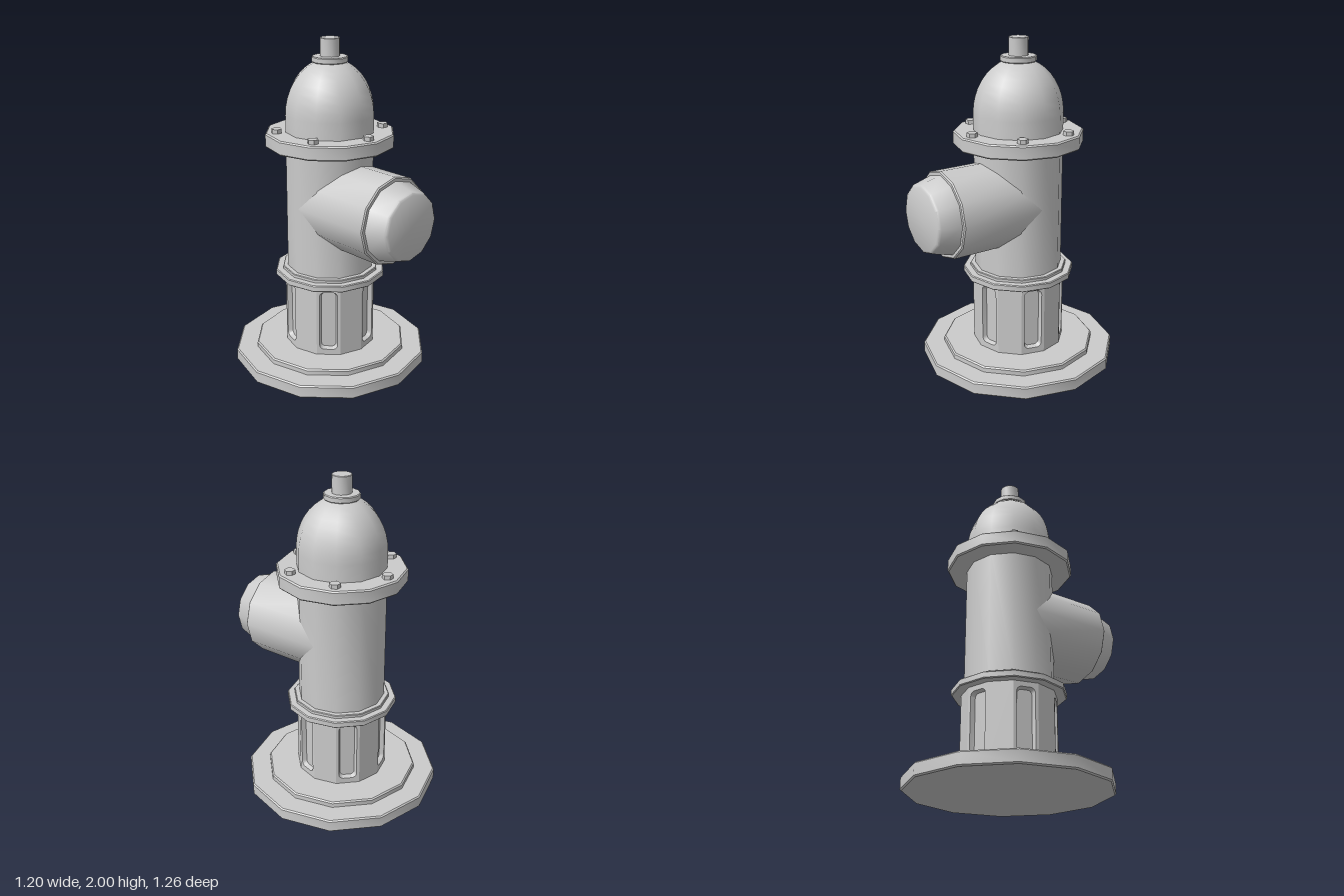
import * as THREE from 'three';
import { toCreasedNormals } from 'three/addons/utils/BufferGeometryUtils.js';

const SIDES = 12;
const material = new THREE.MeshStandardMaterial({ color: 0xcccccc });

// Twelve-sided turned part from [radius, height] pairs, bottom to top
function turned(name, profile, crease = 0.6) {
  const points = profile.map(([r, y]) => new THREE.Vector2(r, y));
  const mesh = new THREE.Mesh(toCreasedNormals(new THREE.LatheGeometry(points, SIDES), crease), material);
  mesh.name = name;
  return mesh;
}

// Disc profile with small chamfers on both rims
const disc = (r, y0, y1, b = 0.008) =>
  [[0, y0], [r - b, y0], [r, y0 + b], [r, y1 - b], [r - b, y1], [0, y1]];

// Flat face of the column; alternate faces have a rounded window
function panelGeometry(width, height, depth, open) {
  const shape = new THREE.Shape();
  shape.moveTo(-width / 2, -height / 2);
  shape.lineTo(width / 2, -height / 2);
  shape.lineTo(width / 2, height / 2);
  shape.lineTo(-width / 2, height / 2);
  shape.closePath();
  const hw = 0.055, hh = 0.19, r = 0.03;
  if (open) {
    const hole = new THREE.Path();
    hole.absarc(hw - r, hh - r, r, 0, Math.PI / 2);
    hole.absarc(r - hw, hh - r, r, Math.PI / 2, Math.PI);
    hole.absarc(r - hw, r - hh, r, Math.PI, Math.PI * 1.5);
    hole.absarc(hw - r, r - hh, r, Math.PI * 1.5, Math.PI * 2);
    hole.closePath();
    shape.holes.push(hole);
  }
  const geometry = new THREE.ExtrudeGeometry(shape, { depth, bevelEnabled: false, curveSegments: 4 });
  geometry.translate(0, 0, -depth);
  // Slope the window walls inwards towards the floor
  const p = geometry.attributes.position;
  for (let i = 0; i < p.count; i++) {
    const inHole = Math.abs(p.getX(i)) < hw + 0.001 && Math.abs(p.getY(i)) < hh + 0.001;
    if (inHole && p.getZ(i) < -depth / 2) p.setXY(i, p.getX(i) * 0.8, p.getY(i) * 0.95);
  }
  return toCreasedNormals(geometry, 0.6);
}

export function createModel() {
  const model = new THREE.Group();
  model.name = 'hydrant';
  const body = new THREE.Group();
  body.name = 'body';
  body.position.z = -0.033;
  model.add(body);

  // Stepped foot
  body.add(turned('basePlate', disc(0.6, 0, 0.08)));
  body.add(turned('baseStep', disc(0.47, 0.07, 0.115)));

  // Recessed column: inner core wrapped by twelve panels
  const radius = 0.28, depth = 0.028;
  const apothem = radius * Math.cos(Math.PI / SIDES);
  const coreRadius = (apothem - depth + 0.001) / Math.cos(Math.PI / SIDES);
  body.add(turned('columnCore', [[coreRadius, 0.1], [coreRadius, 0.58]], 0.3));
  const width = 2 * radius * Math.sin(Math.PI / SIDES);
  for (let i = 0; i < SIDES; i++) {
    const angle = (i + 0.5) * Math.PI * 2 / SIDES;
    const panel = new THREE.Mesh(panelGeometry(width, 0.48, depth, i % 2 === 0), material);
    panel.name = 'columnPanel';
    panel.position.set(Math.sin(angle) * apothem, 0.34, Math.cos(angle) * apothem);
    panel.rotation.y = angle;
    body.add(panel);
  }

  // Collar, barrel and upper flange
  body.add(turned('collar', disc(0.338, 0.56, 0.6, 0.005)));
  body.add(turned('collarStep', disc(0.295, 0.59, 0.62, 0.004)));
  body.add(turned('barrel', [[0.265, 0.6], [0.265, 1.39]]));
  body.add(turned('flange', disc(0.385, 1.375, 1.46)));

  // Domed bonnet
  const dome = [[0.265, 1.44]];
  for (let i = 0; i <= 10; i++) {
    const t = i / 10 * Math.PI / 2;
    dome.push([i === 10 ? 0 : 0.265 * Math.cos(t), 1.56 + 0.32 * Math.sin(t)]);
  }
  body.add(turned('bonnet', dome));
  body.add(turned('bonnetCap', disc(0.106, 1.86, 1.895, 0.005)));
  body.add(turned('operatingStem', disc(0.058, 1.88, 2, 0.003)));

  // Hexagonal flange bolts
  const boltGeometry = new THREE.CylinderGeometry(0.032, 0.032, 0.035, 6).toNonIndexed();
  boltGeometry.rotateY(Math.PI / 6);
  boltGeometry.computeVertexNormals();
  for (let i = 0; i < 6; i++) {
    const angle = i * Math.PI / 3;
    const bolt = new THREE.Mesh(boltGeometry, material);
    bolt.name = 'flangeBolt';
    bolt.position.set(Math.sin(angle) * 0.318, 1.467, Math.cos(angle) * 0.318);
    body.add(bolt);
  }

  // Front outlet with a tapered cap
  const outlet = turned('outlet', [
    [0, 0], [0.262, 0], [0.262, 0.526], [0.255, 0.533], [0.238, 0.533],
    [0.206, 0.645], [0.2, 0.656], [0.188, 0.663], [0, 0.663],
  ]);
  outlet.rotation.x = Math.PI / 2;
  outlet.position.y = 1.03;
  body.add(outlet);

  return model;
}
